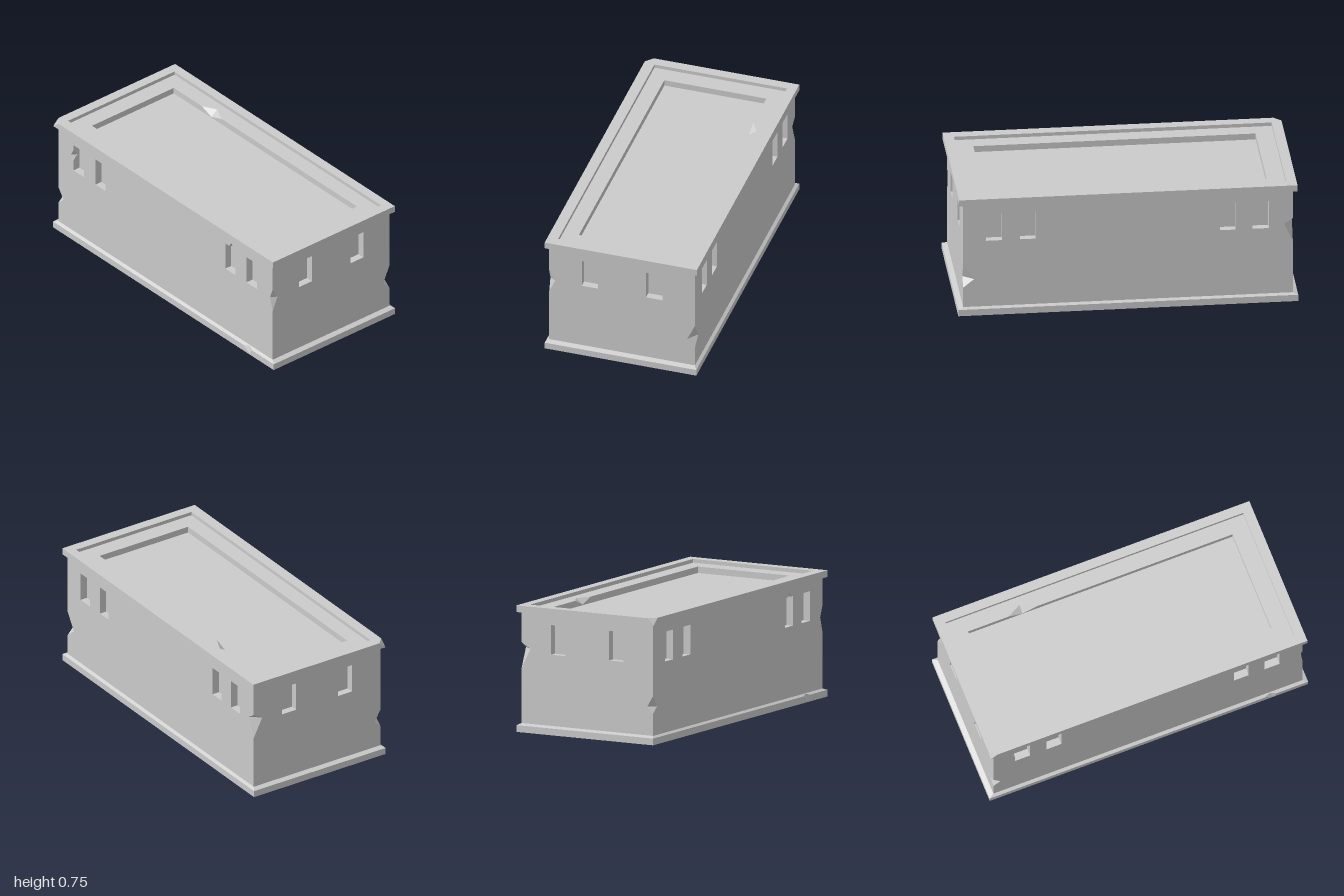
import * as THREE from 'three';

const material = new THREE.MeshStandardMaterial({ color: 0xcccccc, flatShading: true });
const V = (x, y, z) => new THREE.Vector3(x, y, z);

// Collects flat polygons (with optional holes) into one mesh
class Part {
  constructor(name) { this.name = name; this.data = []; }
  // hint: a direction the face must point towards
  face(pts, hint, holes = []) {
    const n = V(0, 0, 0);
    pts.forEach((p, i) => n.add(p.clone().cross(pts[(i + 1) % pts.length])));
    n.normalize();
    if (n.dot(hint) < 0) n.negate();
    const u = V(0, 1, 0).cross(n);
    if (u.length() < 0.1) u.set(1, 0, 0);
    u.normalize();
    const v = n.clone().cross(u);
    const flat = list => list.map(p => new THREE.Vector2(p.dot(u), p.dot(v)));
    const all = [...pts, ...holes.flat()];
    for (const t of THREE.ShapeUtils.triangulateShape(flat(pts), holes.map(flat))) {
      let [a, b, c] = t.map(i => all[i]);
      if (b.clone().sub(a).cross(c.clone().sub(a)).dot(n) < 0) [b, c] = [c, b];
      for (const p of [a, b, c]) this.data.push(p.x, p.y, p.z);
    }
  }
  // broken edge a-b, with p and q the deepest points on the two adjoining faces
  chip(a, b, p, q, hint) {
    this.face([a, p, q], hint);
    this.face([b, p, q], hint);
  }
  mesh() {
    const g = new THREE.BufferGeometry();
    g.setAttribute('position', new THREE.Float32BufferAttribute(this.data, 3));
    g.computeVertexNormals();
    const m = new THREE.Mesh(g, material);
    m.name = this.name;
    return m;
  }
}

const UP = V(0, 1, 0), DOWN = V(0, -1, 0);
const OUT = [V(0, 0, 1), V(1, 0, 0), V(0, 0, -1), V(-1, 0, 0)]; // front, +x, back, -x
const HX = 0.97, HZ = 0.447, WALL_LOW = 0.05, WALL_TOP = 0.71, DEPTH = 0.045;

// Corners in the order -x+z, +x+z, +x-z, -x-z: side i runs from corner i to i+1
const rect = (hx, hz, y, cz = 0) =>
  [[-1, 1], [1, 1], [1, -1], [-1, -1]].map(([sx, sz]) => V(sx * hx, y, sz * hz + cz));

// Wall coordinates: u to the right, v up, d inwards
const wallPoint = [
  (u, v, d = 0) => V(u, v, HZ - d),
  (u, v, d = 0) => V(HX - d, v, -u),
  (u, v, d = 0) => V(-u, v, d - HZ),
  (u, v, d = 0) => V(d - HX, v, u),
];

// Broken corner at the right end of each wall; a, b: reach on this and the next wall
const corners = [
  { lo: 0.39, mid: 0.475, hi: 0.54, a: 0.025, b: 0.037 },
  { lo: 0.175, mid: 0.228, hi: 0.33, a: 0.047, b: 0.065 },
  { lo: 0.375, mid: 0.495, hi: 0.53, a: 0.05, b: 0.06 },
  { lo: 0.18, mid: 0.22, hi: 0.285, a: 0.04, b: 0.045 },
];

const longWindows = [[-0.835, -0.74], [-0.635, -0.543], [0.54, 0.633], [0.732, 0.828]];
const sideWindows = [[-0.247, -0.147], [0.147, 0.247]];
// Broken window edges on the front: edge number and positions along it
const windowChips = {
  0: { edge: 3, t0: 0.2, tm: 0.43, t1: 0.6, out: 0.022 },
  2: { edge: 2, t0: 0.2, tm: 0.4, t1: 0.62, out: 0.03 },
};

// Recess of one window; returns its outline in the wall
function buildWindow(part, at, normal, u0, u1, chip) {
  const c = [[u0, 0.472], [u1, 0.472], [u1, 0.648], [u0, 0.648]];
  const outline = [], mid = at((u0 + u1) / 2, 0.56);
  part.face(c.map(([u, v]) => at(u, v, DEPTH)), normal);
  c.forEach(([u, v], k) => {
    const [un, vn] = c[(k + 1) % 4], du = un - u, dv = vn - v, len = Math.hypot(du, dv);
    const on = (t, out = 0, d = 0) =>
      at(u + du * t + dv / len * out, v + dv * t - du / len * out, d);
    const front = [on(0)];
    outline.push(on(0));
    const inward = mid.clone().sub(on(0.5));
    if (chip && chip.edge === k) {
      const a = on(chip.t0), b = on(chip.t1), p = on(chip.tm, chip.out), q = on(chip.tm, 0, 0.03);
      front.push(a, q, b);
      outline.push(a, p, b);
      part.chip(a, b, p, q, inward.normalize().add(normal));
    }
    part.face([...front, on(1), on(1, 0, DEPTH), on(0, 0, DEPTH)], inward);
  });
  return outline;
}

function buildWalls(group) {
  const walls = new Part('walls');
  wallPoint.forEach((at, i) => {
    const w = i % 2 ? HZ : HX, right = corners[i], left = corners[(i + 3) % 4];
    const holes = (i % 2 ? sideWindows : longWindows).map(([u0, u1], k) => {
      const part = new Part('windowRecess');
      const hole = buildWindow(part, at, OUT[i], u0, u1, i === 0 ? windowChips[k] : null);
      group.add(part.mesh());
      return hole;
    });
    walls.face([
      at(-w, WALL_LOW), at(w, WALL_LOW),
      at(w, right.lo), at(w - right.a, right.mid), at(w, right.hi),
      at(w, WALL_TOP), at(-w, WALL_TOP),
      at(-w, left.hi), at(-w + left.b, left.mid), at(-w, left.lo),
    ], OUT[i], holes);
    // broken corner facets
    const next = (i + 1) % 4, wn = next % 2 ? HZ : HX;
    walls.chip(at(w, right.hi), at(w, right.lo), at(w - right.a, right.mid),
      wallPoint[next](-wn + right.b, right.mid), OUT[i].clone().add(OUT[next]));
  });
  group.add(walls.mesh());
}

// Plinth with a bevelled top and a chipped front edge
function buildBase(group) {
  const base = new Part('base');
  const low = rect(1, 0.465, 0), high = rect(1, 0.465, 0.04), top = rect(HX, HZ, WALL_LOW);
  const a = V(0.725, 0.04, 0.465), b = V(0.805, 0.04, 0.465);
  const p = V(0.785, 0.006, 0.465), q = V(0.765, 0.0475, 0.4515);
  base.face(low, DOWN);
  for (let i = 0; i < 4; i++) {
    const j = (i + 1) % 4;
    base.face([low[i], low[j], high[j], ...(i ? [] : [b, p, a]), high[i]], OUT[i]);
    base.face([high[i], ...(i ? [] : [a, q, b]), high[j], top[j], top[i]], UP);
  }
  base.chip(a, b, p, q, V(0, 1, 1));
  group.add(base.mesh());
}

// Cornice band with one corner broken off
function buildCornice(group) {
  const cornice = new Part('cornice');
  const low = rect(0.995, 0.467, WALL_TOP), high = rect(0.995, 0.467, 0.75);
  const onFront = V(-0.95, 0.75, 0.467), onSide = V(-0.995, 0.75, 0.425);
  cornice.face(low, DOWN, [rect(HX, HZ, WALL_TOP)]);
  for (let i = 0; i < 4; i++) {
    const j = (i + 1) % 4;
    cornice.face([low[i], low[j], j ? high[j] : onSide, i ? high[i] : onFront], OUT[i]);
  }
  cornice.face([low[0], onFront, onSide], V(-1, 1, 1));
  cornice.face([onFront, high[1], high[2], high[3], onSide], UP, [rect(0.935, 0.407, 0.75, -0.004)]);
  group.add(cornice.mesh());
}

// Sunken roof in two steps, the rear step chipped
function buildRoof(group) {
  const roof = new Part('roof');
  const LEDGE = 0.728, FLOOR = 0.69;
  const outer = y => rect(0.935, 0.407, y, -0.004), inner = y => rect(0.83, 0.313, y, -0.004);
  const [o1, o2, i1, i2] = [outer(0.75), outer(LEDGE), inner(LEDGE), inner(FLOOR)];
  const z = i1[2].z;
  const a = V(-0.395, LEDGE, z), b = V(-0.575, LEDGE, z);
  const q = V(-0.49, LEDGE, z - 0.045), p = V(-0.49, FLOOR + 0.005, z);
  for (let i = 0; i < 4; i++) {
    const j = (i + 1) % 4, inward = OUT[i].clone().negate();
    roof.face([o1[i], o1[j], o2[j], o2[i]], inward);
    roof.face([i1[i], ...(i === 2 ? [a, p, b] : []), i1[j], i2[j], i2[i]], inward);
  }
  roof.face(o2, UP, [[i1[0], i1[1], i1[2], a, q, b, i1[3]]]);
  roof.chip(a, b, p, q, V(0, 1, 1));
  roof.face(i2, UP);
  group.add(roof.mesh());
}

export function createModel() {
  const group = new THREE.Group();
  group.name = 'building';
  buildBase(group);
  buildWalls(group);
  buildCornice(group);
  buildRoof(group);
  return group;
}
